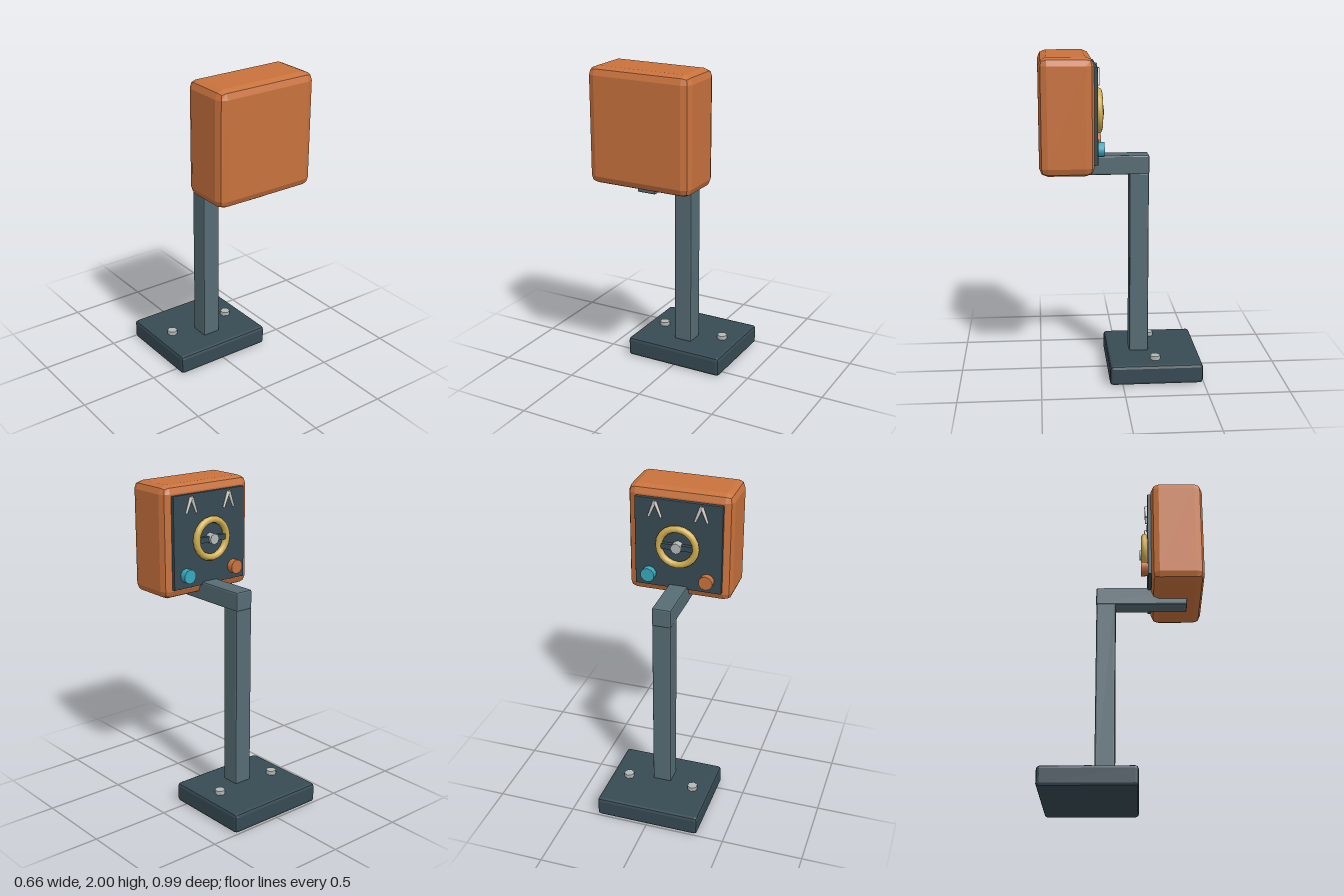
import * as THREE from 'three';
import { RoundedBoxGeometry } from 'three/addons/geometries/RoundedBoxGeometry.js';

const paint = (name, color) => {
  const m = new THREE.MeshStandardMaterial({ color });
  m.name = name;
  return m;
};

export function createModel() {
  const orange = paint('orange', 0xc8723d);
  const darkSlate = paint('dark slate', 0x374a53);
  const slate = paint('slate', 0x566c74);
  const brass = paint('brass', 0xd2af52);
  const teal = paint('teal', 0x36a9bd);
  const steel = paint('steel', 0xb4b9b8);
  const pale = paint('pale', 0xdcd6d0);

  const group = new THREE.Group();

  const add = (name, geometry, material, x, y, z) => {
    const mesh = new THREE.Mesh(geometry, material);
    mesh.name = name;
    mesh.position.set(x, y, z);
    group.add(mesh);
    return mesh;
  };

  // Box with faceted bevels, given by its limits on each axis
  const block = (name, material, [x0, x1], [y0, y1], [z0, z1], bevel) => {
    let g = new RoundedBoxGeometry(x1 - x0, y1 - y0, z1 - z0, 1, bevel);
    if (g.index) g = g.toNonIndexed();
    g.computeVertexNormals();
    return add(name, g, material, (x0 + x1) / 2, (y0 + y1) / 2, (z0 + z1) / 2);
  };

  // Short cylinder pointing out of the back panel
  const knob = (name, material, radius, sides, x, y, z0, z1) => {
    const g = new THREE.CylinderGeometry(radius, radius, z1 - z0, sides).rotateX(-Math.PI / 2);
    return add(name, g, material, x, y, (z0 + z1) / 2);
  };

  // Stand
  block('base', darkSlate, [-0.33, 0.33], [0, 0.125], [-0.495, 0.08], 0.02);
  block('post', slate, [-0.06, 0.06], [0.12, 1.275], [-0.18, -0.06], 0.01);
  block('arm', slate, [-0.06, 0.06], [1.265, 1.385], [-0.182, 0.39], 0.01);

  // Housing and control panel
  block('housing', orange, [-0.33, 0.33], [1.305, 2], [0.165, 0.49], 0.05);
  block('controlPanel', darkSlate, [-0.275, 0.275], [1.365, 1.94], [0.143, 0.175], 0.004);

  // Hand wheel
  add('wheelRim', new THREE.TorusGeometry(0.117, 0.022, 8, 20), brass, 0, 1.653, 0.125);
  add('wheelSpoke', new THREE.BoxGeometry(0.2, 0.035, 0.025), darkSlate, 0, 1.653, 0.124);
  knob('wheelHub', steel, 0.034, 8, 0, 1.653, 0.094, 0.143);

  // Push buttons
  knob('tealButton', teal, 0.045, 10, 0.185, 1.447, 0.102, 0.145);
  knob('orangeButton', orange, 0.045, 10, -0.185, 1.447, 0.102, 0.145);

  for (const side of [-1, 1]) {
    // Base bolts
    add('baseBolt', new THREE.CylinderGeometry(0.033, 0.033, 0.03, 6), steel, side * 0.215, 0.136, -0.208);

    // Pointers: two tapered legs meeting at the top
    for (const lean of [-1, 1]) {
      const leg = add('pointerLeg', new THREE.CylinderGeometry(0.011, 0.007, 0.105, 8), pale,
        side * 0.145 + lean * 0.02, 1.875, 0.136);
      leg.rotation.z = lean * 0.37;
    }
  }

  return group;
}
